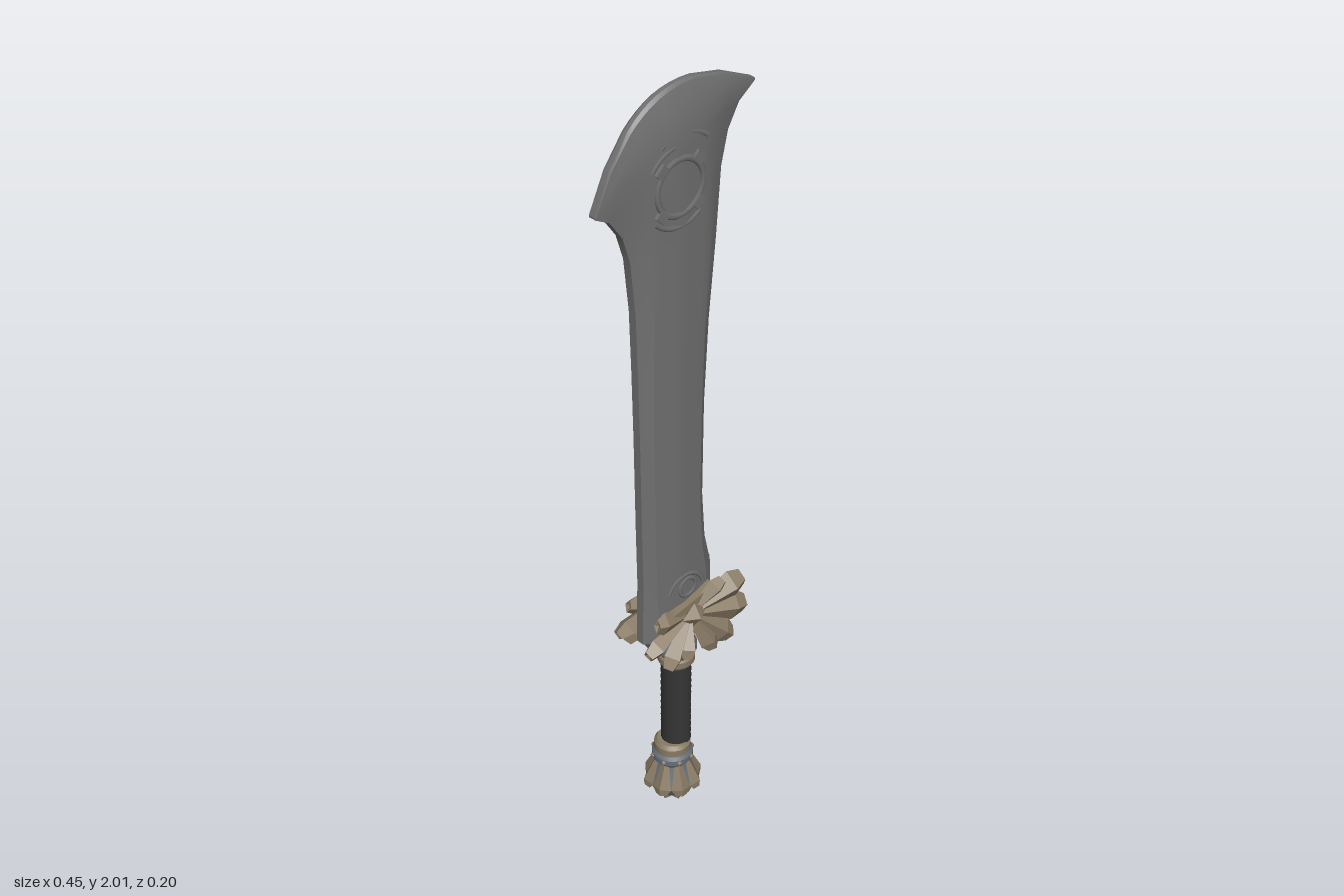
import * as THREE from 'three';
import { toCreasedNormals } from 'three/addons/utils/BufferGeometryUtils.js';

const mat = (name, color) => Object.assign(new THREE.MeshStandardMaterial({ color }), { name });
const steel = mat('steel', 0x707070);
const bone = mat('carved bone', 0x887a64);
const leather = mat('dark leather', 0x333333);
const blued = mat('blued metal', 0x666f78);

const V = (x, y, z) => new THREE.Vector3(x, y, z);

function add(parent, name, geometry, material, x = 0, y = 0, z = 0) {
  const m = new THREE.Mesh(geometry, material);
  m.name = name;
  m.position.set(x, y, z);
  parent.add(m);
  return m;
}

function flat(geometry) {
  const g = geometry.index ? geometry.toNonIndexed() : geometry;
  g.computeVertexNormals();
  return g;
}

function lathe(points, sides, crease = 0.5) {
  return toCreasedNormals(new THREE.LatheGeometry(points.map(p => new THREE.Vector2(...p)), sides), crease);
}

// Faceted, ridged shard growing from root to tip, its ridge facing "out"
function shard(parent, name, root, tip, width, thick, out, material = bone) {
  const L = root.distanceTo(tip);
  const pts = [[0, 0], [0.35, 0], [1, 0.8], [0.6, 1], [0, 0.95]].map(p => new THREE.Vector2(p[0], p[1] * L));
  const g = new THREE.LatheGeometry(pts, 4);
  g.scale(width, 1, thick);
  const y = tip.clone().sub(root).normalize();
  const x = y.clone().cross(out).normalize();
  const z = x.clone().cross(y);
  g.applyMatrix4(new THREE.Matrix4().makeBasis(x, y, z).setPosition(root));
  return add(parent, name, flat(g), material);
}

// Blade: lens-shaped cross-sections lofted from guard to curved cutting end
function bladeGeometry() {
  // left x, left y, right x, right y, bevel share, upward bow, thickness factor
  const rows = [
    [-0.11, 0.56, 0.115, 0.56, 0.14, 0, 1],
    [-0.108, 0.65, 0.112, 0.70, 0.14, 0, 1],
    [-0.106, 0.74, 0.092, 0.79, 0.13, 0, 1],
    [-0.109, 0.90, 0.083, 0.92, 0.13, 0, 1],
    [-0.112, 1.15, 0.086, 1.18, 0.13, 0, 1],
    [-0.116, 1.34, 0.098, 1.40, 0.14, 0, 1],
    [-0.121, 1.50, 0.117, 1.60, 0.16, 0, 1],
    [-0.135, 1.635, 0.13, 1.77, 0.2, 0.01, 1],
    [-0.155, 1.70, 0.149, 1.85, 0.24, 0.02, 1],
    [-0.19, 1.75, 0.18, 1.905, 0.27, 0.035, 0.98],
    [-0.227, 1.77, 0.227, 1.94, 0.3, 0.055, 0.9],
    [-0.227, 1.772, 0.227, 1.942, 0.3, 0.1, 0.6],
    [-0.227, 1.774, 0.227, 1.944, 0.3, 0.137, 0.08],
    [-0.227, 1.775, 0.227, 1.945, 0.3, 0.142, 0],
  ];
  const pos = [], idx = [], N = 12, edge = 0.011;
  rows.forEach(([lx, ly, rx, ry, b, bow, t], r) => {
    const n = V(ly - ry, rx - lx, 0).normalize();
    const put = (k, side) => {
      const e = Math.min(k, N - k);
      const half = e <= 2 ? b * e / 2 : b + (0.5 - b) * (e - 2) / 4;
      const u = k <= N / 2 ? half : 1 - half;
      const full = e <= 2 ? edge + 0.01 * e : 0.031 + 0.008 * (e - 2) / 4;
      const h = r === rows.length - 1 ? 0.005 : edge + (full - edge) * t;
      const lift = bow * 4 * u * (1 - u);
      pos.push(lx + (rx - lx) * u + n.x * lift, ly + (ry - ly) * u + n.y * lift, side * h);
    };
    for (let k = 0; k <= N; k++) put(k, 1);
    for (let k = N; k >= 0; k--) put(k, -1);
  });
  const M = 2 * (N + 1), last = (rows.length - 1) * M;
  for (let r = 0; r < rows.length - 1; r++) {
    for (let j = 0; j < M; j++) {
      const a = r * M + j, b = r * M + (j + 1) % M;
      idx.push(a, b, b + M, a, b + M, a + M);
    }
  }
  // Narrow strip closing the cutting edge
  for (let k = 0; k < N; k++) {
    const a = last + k, b = a + 1, c = last + M - 2 - k, d = c + 1;
    idx.push(a, b, c, a, c, d);
  }
  const g = new THREE.BufferGeometry();
  g.setAttribute('position', new THREE.Float32BufferAttribute(pos, 3));
  g.setIndex(idx);
  return toCreasedNormals(g, 0.4);
}

// Shallow raised arc for the blade ornaments
function arc(parent, name, x, y, z, radius, tube, start, sweep, material = steel) {
  const g = new THREE.TorusGeometry(radius, tube, 6, 32, sweep);
  g.rotateZ(start);
  g.scale(1, 1, 0.55);
  return add(parent, name, g, material, x, y, z);
}

// Ornaments and guard shards of one face; side is +1 front, -1 back
function buildFace(side) {
  const face = new THREE.Group();
  face.name = side > 0 ? 'frontFace' : 'backFace';
  const P = (x, y, z) => V(x, y, z * side);
  const cx = -0.013, cy = 1.78;

  // Round emblem with four clasps and sweeping arcs
  arc(face, 'emblemRing', cx, cy, 0.037 * side, 0.066, 0.008, 0, Math.PI * 2);
  for (let i = 0; i < 4; i++) {
    const a = Math.PI / 4 + i * Math.PI / 2;
    const clasp = add(face, 'emblemClasp', new THREE.BoxGeometry(0.022, 0.03, 0.008), steel,
      cx + Math.cos(a) * 0.075, cy + Math.sin(a) * 0.075, 0.037 * side);
    clasp.rotation.z = a;
  }
  arc(face, 'upperArc', cx + 0.01, cy, 0.031 * side, 0.118, 0.006, 0.9, 1.2);
  arc(face, 'upperInnerArc', cx, cy, 0.034 * side, 0.096, 0.006, 1.5, 1.0);
  arc(face, 'lowerArc', cx, cy, 0.036 * side, 0.095, 0.006, 3.9, 1.5);

  // Small ornament at the blade root
  arc(face, 'rootArch', 0.005, 0.67, 0.038 * side, 0.058, 0.006, 0.2, 2.5);
  arc(face, 'rootCurl', 0.012, 0.69, 0.039 * side, 0.025, 0.006, 0, Math.PI * 2);

  // Fan of guard shards: tip, half width, half thickness
  const root = P(0.012, 0.61, 0.045), out = P(0, 0.15, 1);
  [
    [0.105, 0.675, 0.062, 0.03, 0.02],
    [0.165, 0.655, 0.066, 0.042, 0.03],
    [0.168, 0.575, 0.072, 0.04, 0.03],
    [0.115, 0.51, 0.08, 0.034, 0.027],
    [0.055, 0.505, 0.085, 0.027, 0.025],
    [-0.03, 0.515, 0.085, 0.027, 0.025],
    [-0.085, 0.505, 0.075, 0.032, 0.025],
    [-0.132, 0.56, 0.055, 0.028, 0.025],
    [-0.1, 0.635, 0.052, 0.03, 0.02],
  ].forEach(([x, y, z, w, t]) => shard(face, 'guardShard', root, P(x, y, z), w, t, out));

  // Centre boss and sloping lip where the fan meets the blade
  const boss = add(face, 'guardBoss', flat(new THREE.OctahedronGeometry(0.035)), bone, 0.014, 0.615, 0.06 * side);
  boss.scale.set(1.1, 1, 0.7);
  const lip = add(face, 'guardLip', new THREE.BoxGeometry(0.15, 0.02, 0.03), bone, 0.015, 0.642, 0.04 * side);
  lip.rotation.z = 0.2;
  return face;
}

function buildGrip() {
  const grip = new THREE.Group();
  grip.name = 'grip';
  // Wrapped handle
  add(grip, 'handle', new THREE.CylinderGeometry(0.034, 0.034, 0.28, 20), leather, 0.008, 0.31);
  for (let i = 0; i < 13; i++) {
    const wrap = add(grip, 'leatherWrap', new THREE.CylinderGeometry(0.036, 0.039, 0.021, 20), leather,
      0.008, 0.19 + i * 0.0205);
    wrap.rotation.z = 0.12;
  }
  // Neck between handle and guard
  add(grip, 'neckRing', lathe([[0, 0], [0.042, 0], [0.047, 0.008], [0.047, 0.025], [0.04, 0.035], [0, 0.035]], 20), bone, 0.01, 0.435);
  add(grip, 'neck', lathe([[0, 0], [0.042, 0], [0.052, 0.015], [0.052, 0.03], [0.042, 0.05], [0.05, 0.12], [0, 0.12]], 20), blued, 0.01, 0.465);
  return grip;
}

function buildPommel() {
  const pommel = new THREE.Group();
  pommel.name = 'pommel';
  pommel.position.x = -0.003;
  add(pommel, 'upperRing', lathe([[0, 0], [0.047, 0], [0.047, 0.02], [0.039, 0.03], [0, 0.03]], 20), bone, 0, 0.155);
  add(pommel, 'collar', lathe([[0, 0], [0.042, 0], [0.053, 0.014], [0.053, 0.03], [0.045, 0.042], [0, 0.042]], 20), blued, 0, 0.115);
  add(pommel, 'core', lathe([[0, 0.015], [0.045, 0.02], [0.066, 0.055], [0.052, 0.09], [0.042, 0.122], [0, 0.122]], 16), blued);
  // Ring of flared claws, each with a rivet above and a blunt toe below
  for (let i = 0; i < 8; i++) {
    const a = (i + 0.5) / 8 * Math.PI * 2, c = Math.cos(a), s = Math.sin(a);
    const out = V(c, 0.3, s);
    shard(pommel, 'claw', V(c * 0.04, 0.125, s * 0.04), V(c * 0.068, 0.04, s * 0.068), 0.025, 0.016, out);
    shard(pommel, 'toe', V(c * 0.06, 0.06, s * 0.06), V(c * 0.024, 0.006, s * 0.024), 0.022, 0.018, V(c, -1, s));
    add(pommel, 'rivet', new THREE.SphereGeometry(0.007, 8, 6), bone, c * 0.052, 0.137, s * 0.052);
  }
  add(pommel, 'foot', flat(new THREE.CylinderGeometry(0.04, 0.022, 0.03, 8)), bone, 0, 0.015);
  return pommel;
}

export function createModel() {
  const model = new THREE.Group();
  model.name = 'broadSword';
  add(model, 'blade', bladeGeometry(), steel);
  model.add(buildFace(1), buildFace(-1));

  // Guard body and the diamond studs on its narrow sides
  const core = add(model, 'guardCore', flat(new THREE.IcosahedronGeometry(1, 1)), bone, 0.012, 0.59, 0);
  core.scale.set(0.1, 0.065, 0.06);
  for (const x of [-0.075, 0.1]) {
    const stud = add(model, 'sideStud', flat(new THREE.OctahedronGeometry(0.035)), blued, x, 0.55, 0);
    stud.scale.set(0.7, 1.1, 0.8);
  }
  model.add(buildGrip(), buildPommel());
  return model;
}
